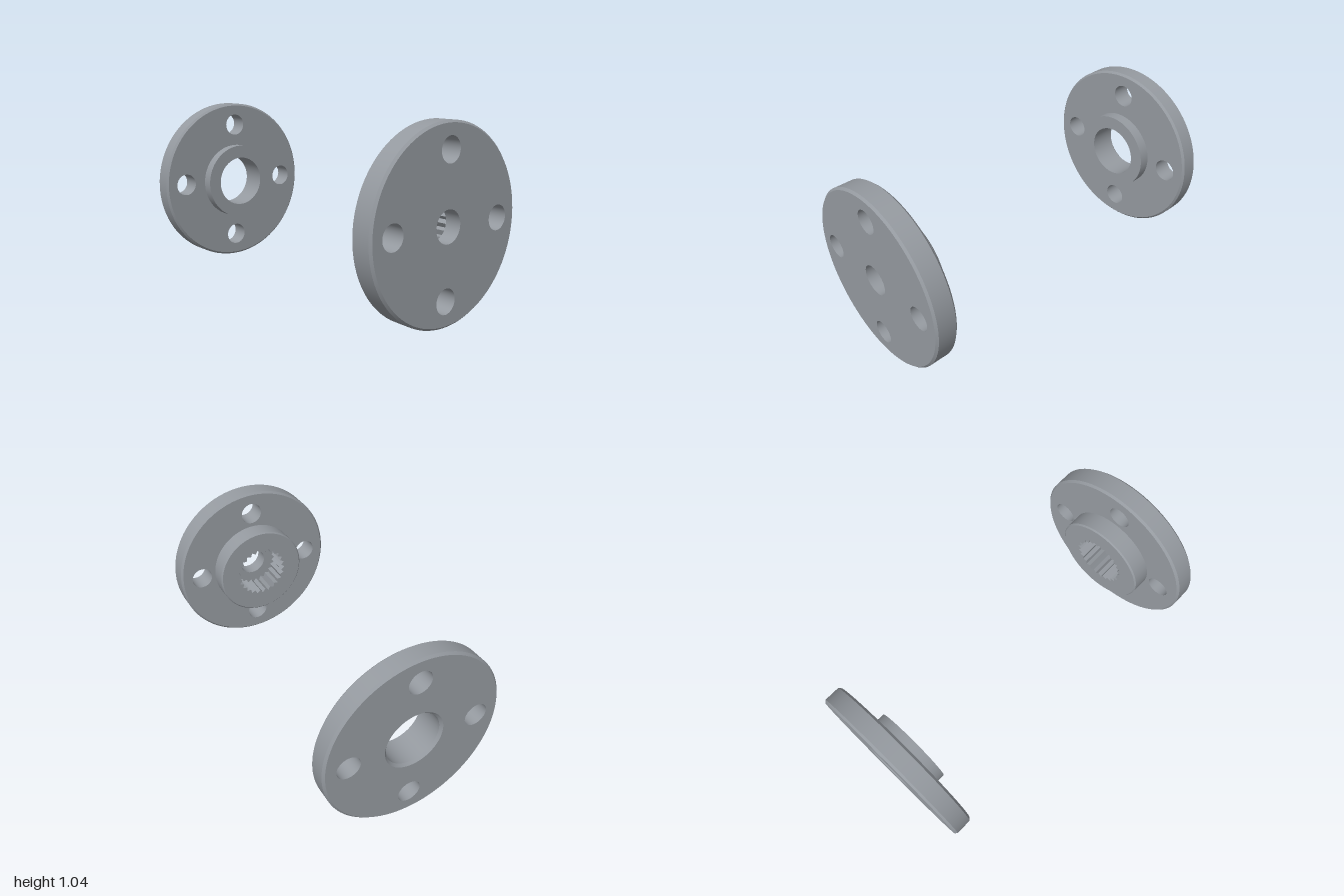
import * as THREE from 'three';
import { mergeGeometries } from 'three/addons/utils/BufferGeometryUtils.js';

const SEG = 96, TEETH = 25;
const R = 0.512, BEVEL = 0.012, BOLT_R = 0.067, BOLT_CIRCLE = 0.373;
const boltCentres = [[1, 0], [0, 1], [-1, 0], [0, -1]].map(([x, y]) => [x * BOLT_CIRCLE, y * BOLT_CIRCLE]);

const steel = new THREE.MeshStandardMaterial({ color: 0x959aa0 });
steel.name = 'steel grey';

// Turned surface about z from [radius, z] points, with sharp edges between segments
function turned(points) {
  const parts = [];
  for (let i = 0; i < points.length - 1; i++) {
    const pair = [points[i], points[i + 1]].map(([r, z]) => new THREE.Vector2(r, z));
    parts.push(new THREE.LatheGeometry(pair, SEG).rotateX(Math.PI / 2));
  }
  return mergeGeometries(parts);
}

function circle(r, x = 0, y = 0) {
  return new THREE.Path().absarc(x, y, r, 0, Math.PI * 2, true);
}

// Flat face at z with holes, looking along +z (dir 1) or -z (dir -1)
function flatFace(z, dir, radius, holes) {
  const shape = new THREE.Shape().absarc(0, 0, radius, 0, Math.PI * 2, false);
  shape.holes.push(...holes);
  const g = new THREE.ShapeGeometry(shape, SEG / 2);
  if (dir < 0) g.rotateY(Math.PI);
  return g.translate(0, 0, z);
}

function add(group, name, geometry) {
  const mesh = new THREE.Mesh(geometry, steel);
  mesh.name = name;
  group.add(mesh);
}

// Bevelled flange with four bolt holes; inner radii are for its back and front faces
function addFlange(group, z0, z1, backInner, frontInner) {
  const bolts = () => boltCentres.map(([x, y]) => circle(BOLT_R, x, y));
  add(group, 'flangeBackFace', flatFace(z0, -1, R - BEVEL, [circle(backInner), ...bolts()]));
  add(group, 'flangeFrontFace', flatFace(z1, 1, R - BEVEL, [circle(frontInner), ...bolts()]));
  add(group, 'flangeRim', turned([[R - BEVEL, z0], [R, z0 + BEVEL], [R, z1 - BEVEL], [R - BEVEL, z1]]));
  for (const [x, y] of boltCentres) {
    add(group, 'boltHole', turned([[BOLT_R, z1], [BOLT_R, z0]]).translate(x, y, 0));
  }
}

// Alternating radius of the internal spline
const splineRadius = (i) => (i % 2 ? 0.144 : 0.165);

function splineWall(zTop, zBottom) {
  const n = TEETH * 2;
  const g = new THREE.LatheGeometry([new THREE.Vector2(1, zTop), new THREE.Vector2(1, zBottom)], n);
  const p = g.attributes.position;
  for (let k = 0; k < p.count; k++) {
    const r = splineRadius(Math.floor(k / 2));
    p.setXYZ(k, p.getX(k) * r, p.getY(k), p.getZ(k) * r);
  }
  const flat = g.toNonIndexed().rotateX(Math.PI / 2);
  flat.computeVertexNormals();
  return flat;
}

function splineOutline() {
  const points = [];
  for (let i = 0; i < TEETH * 2; i++) {
    const a = (i / TEETH) * Math.PI, r = splineRadius(i);
    points.push(new THREE.Vector2(r * Math.sin(a), -r * Math.cos(a)));
  }
  return new THREE.Path(points);
}

// Front disc: hub at the back with a splined socket and a smaller through hole
function splinedDisc() {
  const g = new THREE.Group();
  g.name = 'splinedDisc';
  const hubZ = 0.755, z0 = 0.866, z1 = 0.9955, floorZ = 0.905, hubR = 0.2825, hole = 0.086;
  addFlange(g, z0, z1, hubR, hole);
  add(g, 'hubFace', flatFace(hubZ, -1, hubR - 0.008, [splineOutline()]));
  add(g, 'hubWall', turned([[hubR - 0.008, hubZ], [hubR, hubZ + 0.008], [hubR, z0]]));
  add(g, 'splineTeeth', splineWall(floorZ, hubZ));
  add(g, 'screwHole', turned([[hole, z1], [hole, floorZ], [0.165, floorZ]]));
  return g;
}

// Rear disc: smaller hub at the front with a plain chamfered bore
function plainDisc() {
  const g = new THREE.Group();
  g.name = 'plainDisc';
  const z0 = -0.9955, z1 = -0.881, hubZ = -0.816, hubR = 0.2375, bore = 0.157;
  addFlange(g, z0, z1, bore + 0.014, hubR);
  add(g, 'hub', turned([[hubR, z1], [hubR, hubZ], [bore, hubZ]]));
  add(g, 'bore', turned([[bore, hubZ], [bore, z0 + 0.014], [bore + 0.014, z0]]));
  return g;
}

export function createModel() {
  const model = new THREE.Group();
  model.name = 'discPair';
  // Both discs share one slightly tilted axis
  const axis = new THREE.Group();
  axis.name = 'sharedAxis';
  axis.add(splinedDisc(), plainDisc());
  axis.rotation.x = 0.0085;
  axis.position.y = 0.5245;
  model.add(axis);
  return model;
}
